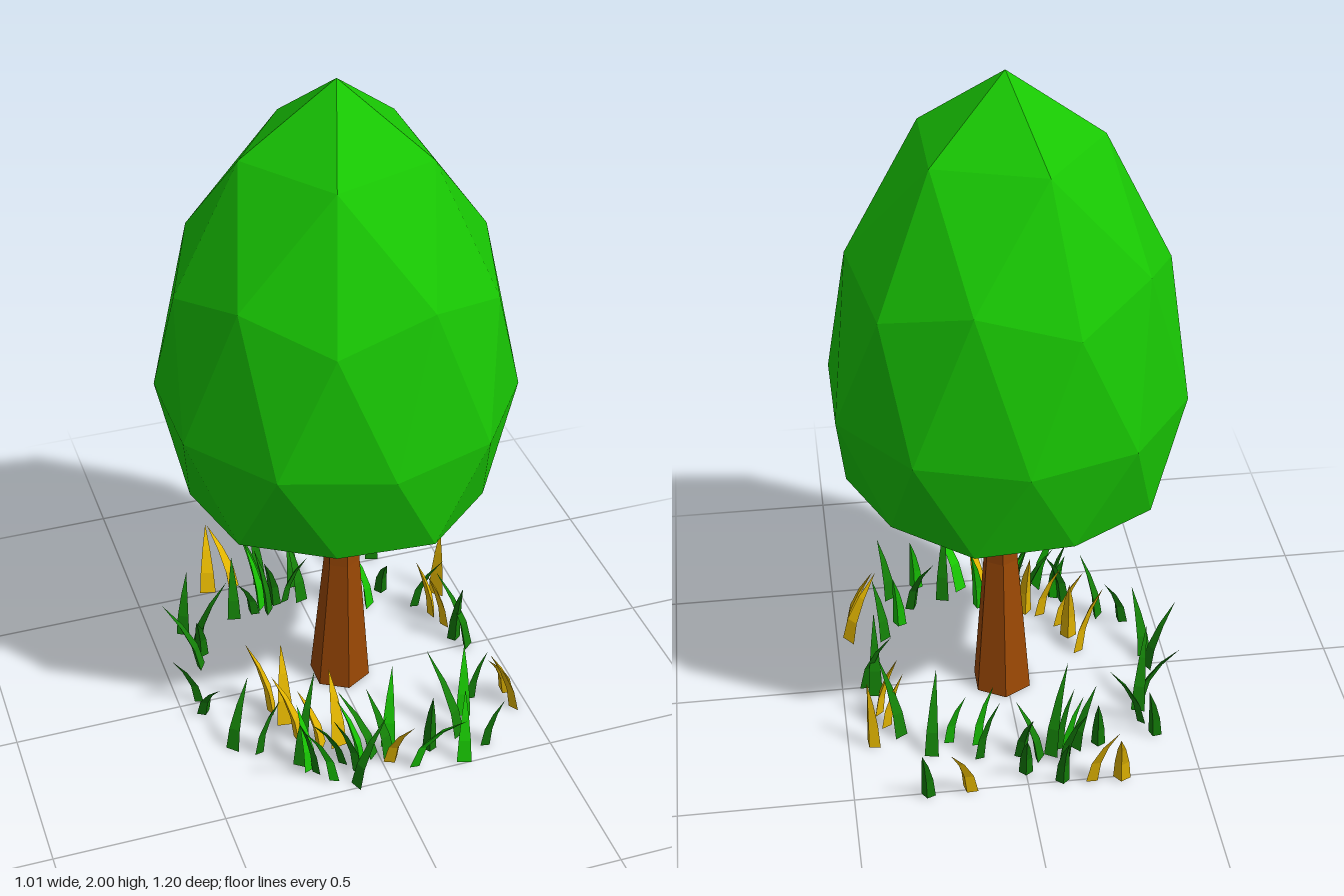
import * as THREE from 'three';

const paint = (name, color) => {
  const m = new THREE.MeshStandardMaterial({ color });
  m.name = name;
  return m;
};

// Split the corners so every facet gets its own flat normal
function faceted(geometry) {
  const g = geometry.index ? geometry.toNonIndexed() : geometry;
  g.computeVertexNormals();
  return g;
}

function part(name, geometry, material) {
  const mesh = new THREE.Mesh(faceted(geometry), material);
  mesh.name = name;
  return mesh;
}

function seeded(seed) {
  return () => {
    seed = (seed * 16807) % 2147483647;
    return seed / 2147483647;
  };
}

// Egg-shaped crown: a subdivided icosahedron, pole up, with its rings moved to new heights
function crownGeometry() {
  const g = new THREE.IcosahedronGeometry(1, 1);
  g.rotateX(-Math.atan((1 + Math.sqrt(5)) / 2));
  g.rotateY(-Math.PI / 2);
  const rings = [[1, 2], [0.851, 1.805], [0.526, 1.5], [0.447, 1.425], [0, 1.06],
    [-0.447, 0.773], [-0.526, 0.773], [-0.851, 0.655], [-1, 0.648]];
  const p = g.attributes.position;
  for (let i = 0; i < p.count; i++) {
    const y = p.getY(i);
    const ring = rings.reduce((a, b) => (Math.abs(b[0] - y) < Math.abs(a[0] - y) ? b : a));
    p.setXYZ(i, p.getX(i) * 0.514, ring[1], p.getZ(i) * 0.514 - 0.012);
  }
  return g;
}

// Six-sided trunk, flared below y = 0.45
function trunkGeometry() {
  const g = new THREE.CylinderGeometry(1, 1, 1, 6, 2);
  const p = g.attributes.position;
  const levels = [[0, 0.092, -0.012], [0.45, 0.054, 0.005], [0.7, 0.052, 0.005]];
  for (let i = 0; i < p.count; i++) {
    const [y, r, z] = levels[Math.round((p.getY(i) + 0.5) * 2)];
    p.setXYZ(i, p.getX(i) * r + 0.013, y, p.getZ(i) * r + z);
  }
  return g;
}

// Three-sided blade that curves from its base to its tip
function bladeGeometry(bx, bz, tx, tz, height, radius) {
  const g = new THREE.ConeGeometry(radius, 1, 3, 3);
  const p = g.attributes.position;
  const a = Math.atan2(tx - bx, tz - bz);
  const c = Math.cos(a), s = Math.sin(a);
  for (let i = 0; i < p.count; i++) {
    const t = p.getY(i) + 0.5;
    const bend = Math.pow(t, 1.7);
    const plump = 1 + 0.7 * t;
    const x = p.getX(i) * plump, z = p.getZ(i) * 0.5 * plump;
    p.setXYZ(i, bx + (tx - bx) * bend + x * c + z * s, height * t,
      bz + (tz - bz) * bend - x * s + z * c);
  }
  return g;
}

export function createModel() {
  const leaf = paint('leaf green', 0x18c603);
  const bark = paint('bark brown', 0x9b4804);
  const shade = paint('dark grass green', 0x148008);
  const straw = paint('straw gold', 0xf0c000);

  const tree = new THREE.Group();
  tree.name = 'tree';
  tree.add(part('crown', crownGeometry(), leaf), part('trunk', trunkGeometry(), bark));

  const grass = new THREE.Group();
  grass.name = 'grass';
  const addBlade = (name, material, radius, [bx, bz, tx, tz, h]) =>
    grass.add(part(name, bladeGeometry(bx, bz, tx, tz, h, radius), material));

  // Each blade: base x, base z, tip x, tip z, height
  const dry = [
    [-0.27, -0.51, -0.25, -0.59, 0.21], [-0.19, -0.5, -0.25, -0.57, 0.22],
    [0.17, -0.5, 0.23, -0.58, 0.2], [0.43, -0.27, 0.44, -0.28, 0.24],
    [0.46, 0.24, 0.37, 0.31, 0.2], [0.46, 0.31, 0.38, 0.3, 0.21],
    [0.03, 0.42, 0.06, 0.52, 0.2], [-0.1, 0.31, -0.11, 0.25, 0.25],
    [-0.2, 0.24, -0.27, 0.2, 0.22], [-0.22, 0.17, -0.21, 0.1, 0.25],
    [-0.24, 0.1, -0.31, 0.07, 0.25], [-0.15, 0.3, -0.21, 0.26, 0.2],
    [0.4, -0.12, 0.34, -0.13, 0.2], [0.38, -0.18, 0.33, -0.2, 0.2],
  ];
  const fresh = [
    [0.09, 0.46, 0.19, 0.6, 0.26], [-0.16, 0.44, -0.26, 0.49, 0.25],
    [0.12, -0.3, 0.08, -0.34, 0.24], [-0.13, -0.38, -0.17, -0.42, 0.24],
    [0.04, 0.36, 0.07, 0.3, 0.25], [0.3, 0.3, 0.32, 0.24, 0.22],
    [-0.21, 0.38, -0.23, 0.32, 0.2], [0.23, 0.49, 0.25, 0.43, 0.22],
    [0.2, -0.28, 0.16, -0.33, 0.2], [-0.06, 0.4, -0.12, 0.36, 0.22],
  ];
  const dark = [
    [-0.1, -0.5, -0.1, -0.6, 0.22], [0.29, -0.51, 0.31, -0.57, 0.2],
    [-0.4, -0.33, -0.37, -0.38, 0.2], [-0.39, -0.16, -0.49, -0.22, 0.22],
    [-0.1, 0.49, 0.0, 0.45, 0.2], [0.32, 0.44, 0.35, 0.49, 0.2],
    [0.0, -0.45, 0.01, -0.55, 0.2], [-0.12, -0.42, -0.17, -0.5, 0.24],
  ];

  // Dark blades under the crown, denser at the front and back, leaning in mixed directions
  const rnd = seeded(4711);
  const count = 26;
  for (let i = 0; i < count; i++) {
    const even = ((i + rnd() * 0.8) / count) * Math.PI * 2;
    const a = even + 0.27 * Math.sin(2 * even) + 0.2 * Math.sin(even);
    const r = 0.36 + rnd() * 0.1;
    const lean = rnd() * Math.PI * 2;
    const reach = 0.06 + rnd() * 0.06;
    const bx = Math.cos(a) * r, bz = Math.sin(a) * r;
    dark.push([bx, bz, bx * 0.95 + Math.cos(lean) * reach, bz * 0.95 + Math.sin(lean) * reach,
      0.17 + rnd() * 0.09]);
  }

  dry.forEach((b) => addBlade('dryBlade', straw, 0.029, b));
  fresh.forEach((b) => addBlade('freshBlade', leaf, 0.025, b));
  dark.forEach((b) => addBlade('darkBlade', shade, 0.024, b));
  tree.add(grass);
  return tree;
}
